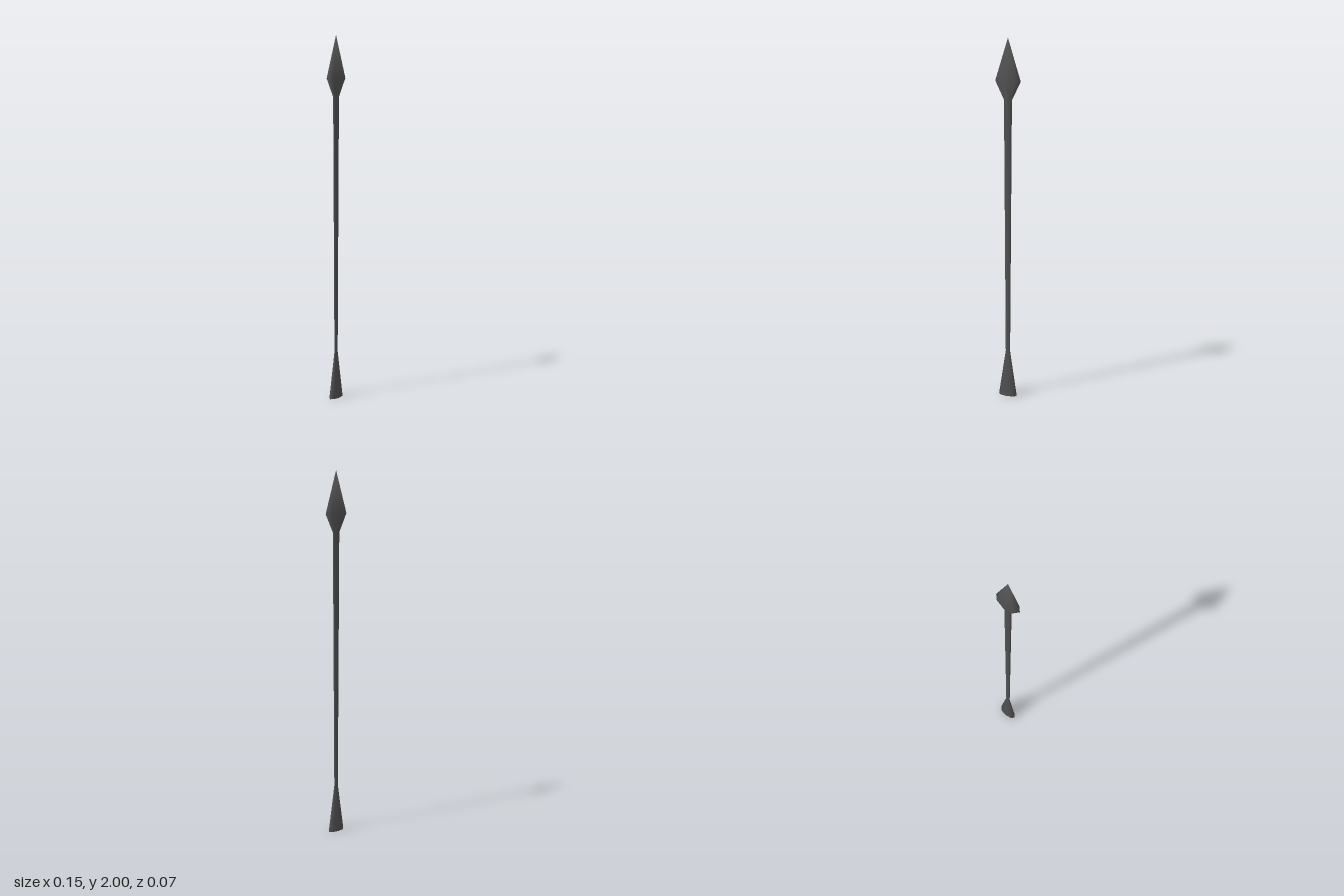
import * as THREE from 'three';
import { mergeVertices } from 'three/addons/utils/BufferGeometryUtils.js';

const SIDES = 8;
const FLATTEN = 0.44; // depth of the oval cross-section relative to its width

export function createModel() {
  const group = new THREE.Group();
  group.name = 'spear';

  const darkIron = new THREE.MeshStandardMaterial({ color: 0x505050 });
  darkIron.name = 'darkIron';

  // Half-width and height: closed foot, flared butt, tapering shaft, pointed head
  const profile = [
    [0, 0],
    [0.055, 0],
    [0.0135, 0.26],
    [0.0235, 1.67],
    [0.075, 1.77],
    [0, 2],
  ].map(([r, y]) => new THREE.Vector2(r, y));

  // One continuous forged piece with an eight-sided oval section
  let geometry = new THREE.LatheGeometry(profile, SIDES);
  geometry.scale(1, 1, FLATTEN);

  // Weld the seam and poles so shading runs smoothly over all edges
  geometry.deleteAttribute('uv');
  geometry.deleteAttribute('normal');
  geometry = mergeVertices(geometry, 1e-5);
  geometry.computeVertexNormals();

  const body = new THREE.Mesh(geometry, darkIron);
  body.name = 'headShaftAndButt';
  group.add(body);
  return group;
}
